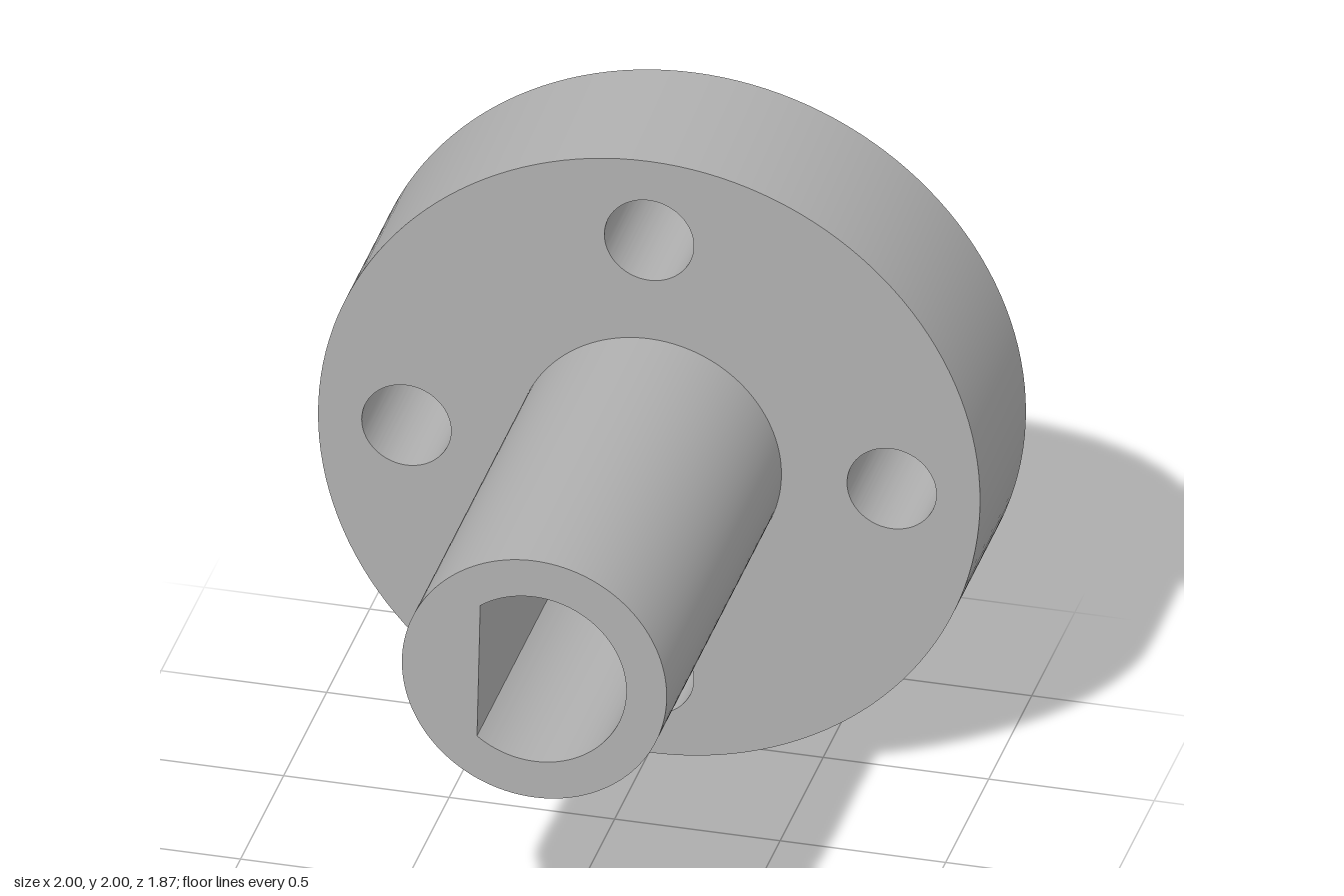
import * as THREE from 'three';
import { toCreasedNormals } from 'three/addons/utils/BufferGeometryUtils.js';

const BACK = -0.933, FACE = -0.4, FRONT = 0.933;

function circle(Type, x, y, r) {
  const c = new Type();
  c.absarc(x, y, r, 0, Math.PI * 2, false);
  return c;
}

// Extrude an outline along z, smooth on curves and sharp at rims
function extrude(name, shape, z0, z1, material) {
  const geometry = new THREE.ExtrudeGeometry(shape, {
    depth: z1 - z0, bevelEnabled: false, curveSegments: 72,
  });
  geometry.translate(0, 1, z0);
  const mesh = new THREE.Mesh(toCreasedNormals(geometry, 0.5), material);
  mesh.name = name;
  return mesh;
}

export function createModel() {
  const group = new THREE.Group();
  group.name = 'flangedShaft';
  const steel = new THREE.MeshStandardMaterial({ color: 0xb0b0b0 });
  steel.name = 'grey';

  // Round flange with four bolt holes
  const disc = circle(THREE.Shape, 0, 0, 1);
  for (let i = 0; i < 4; i++) {
    const a = i * Math.PI / 2;
    disc.holes.push(circle(THREE.Path, 0.733 * Math.cos(a), 0.733 * Math.sin(a), 0.135));
  }
  group.add(extrude('flange', disc, BACK, FACE, steel));

  // Hollow shaft with a D-shaped bore, its flat slightly tilted
  const ring = circle(THREE.Shape, 0, 0, 0.4);
  const bore = new THREE.Path();
  bore.absarc(0, 0, 0.278, THREE.MathUtils.degToRad(-128.5), THREE.MathUtils.degToRad(126), false);
  bore.closePath();
  ring.holes.push(bore);
  group.add(extrude('shaft', ring, FACE, FRONT, steel));

  return group;
}
